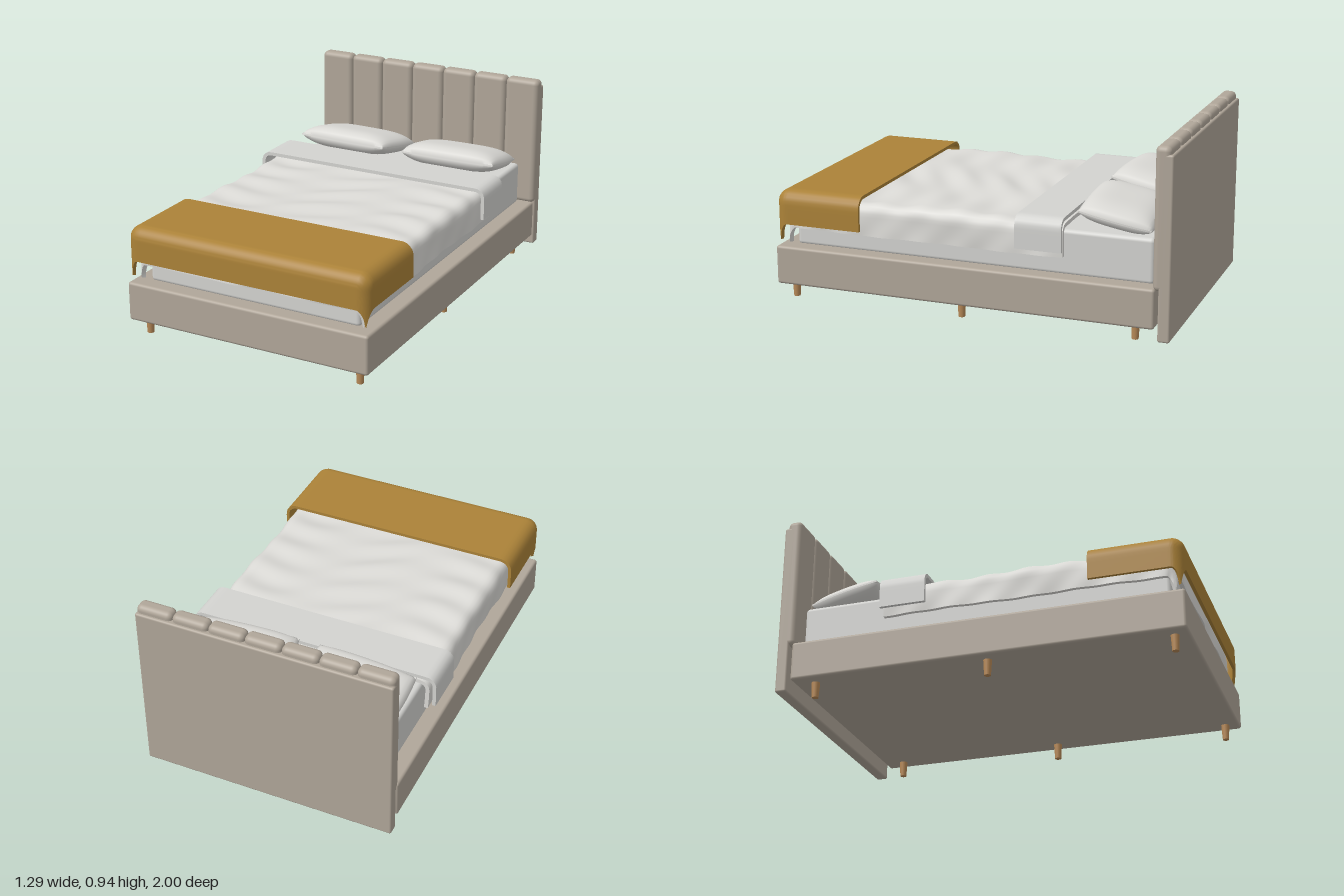
import * as THREE from 'three';
import { toCreasedNormals } from 'three/addons/utils/BufferGeometryUtils.js';
import { RoundedBoxGeometry } from 'three/addons/geometries/RoundedBoxGeometry.js';

const mat = (name, color) => {
  const m = new THREE.MeshStandardMaterial({ color });
  m.name = name;
  return m;
};

// Closed padded sheet: outer face, inner face and a rim. fn(u, v, inner) -> [x, y, z], u and v in 0..1
function paddedSheet(nu, nv, fn, crease) {
  const pos = [], index = [];
  const id = (i, j, k) => k * (nu + 1) * (nv + 1) + j * (nu + 1) + i;
  for (let k = 0; k < 2; k++)
    for (let j = 0; j <= nv; j++)
      for (let i = 0; i <= nu; i++) pos.push(...fn(i / nu, j / nv, k === 1));
  const quad = (a, b, c, d) => index.push(a, b, c, a, c, d);
  for (let j = 0; j < nv; j++)
    for (let i = 0; i < nu; i++) {
      quad(id(i, j, 0), id(i, j + 1, 0), id(i + 1, j + 1, 0), id(i + 1, j, 0));
      quad(id(i, j, 1), id(i + 1, j, 1), id(i + 1, j + 1, 1), id(i, j + 1, 1));
    }
  for (let i = 0; i < nu; i++) {
    quad(id(i, 0, 0), id(i + 1, 0, 0), id(i + 1, 0, 1), id(i, 0, 1));
    quad(id(i, nv, 0), id(i, nv, 1), id(i + 1, nv, 1), id(i + 1, nv, 0));
  }
  for (let j = 0; j < nv; j++) {
    quad(id(0, j, 0), id(0, j, 1), id(0, j + 1, 1), id(0, j + 1, 0));
    quad(id(nu, j, 0), id(nu, j + 1, 0), id(nu, j + 1, 1), id(nu, j, 1));
  }
  const g = new THREE.BufferGeometry();
  g.setAttribute('position', new THREE.Float32BufferAttribute(pos, 3));
  g.setIndex(index);
  return toCreasedNormals(g, crease);
}

// Cloth lying on the bed, bending over the sides (and the foot when overFoot) with hanging corners
function drape({ width, z0, z1, top, hem, r, thick, overFoot, wave = () => 0 }) {
  const cx = width - r, cz = overFoot ? z1 - r : z1;
  const hang = top - hem - r + r * Math.PI / 2;
  const S = cx + hang, T = overFoot ? cz + hang : z1;
  return paddedSheet(80, overFoot ? 72 : 16, (u, v, inner) => {
    const s = (2 * u - 1) * S, t = z0 + v * (T - z0);
    const ex = Math.max(Math.abs(s) - cx, 0), ez = Math.max(t - cz, 0);
    const d = Math.hypot(ex, ez), a = Math.min(d / r, Math.PI / 2);
    const dx = d ? Math.sign(s) * ex / d : 0, dz = d ? ez / d : 0;
    const out = Math.sin(a), up = Math.cos(a);
    const drop = r * (1 - up) + Math.max(d - r * Math.PI / 2, 0);
    const n = wave(s, t) - (inner ? thick : 0);
    return [
      THREE.MathUtils.clamp(s, -cx, cx) + dx * out * (r + n),
      top - drop + up * n,
      Math.min(t, cz) + dz * out * (r + n),
    ];
  }, 0.9);
}

export function createModel() {
  const bed = new THREE.Group();
  bed.name = 'bed';
  const upholstery = mat('taupe upholstery', 0xb0a699);
  const wood = mat('light wood', 0xb88a58);
  const linen = mat('white linen', 0xdbdad6);
  const sheet = mat('pale grey sheet', 0xd3d3d0);
  const ochre = mat('ochre throw', 0xab8238);

  const add = (name, geo, material, x = 0, y = 0, z = 0) => {
    const m = new THREE.Mesh(geo, material);
    m.name = name;
    m.position.set(x, y, z);
    bed.add(m);
    return m;
  };
  // Rounded box given by its lower and upper limits
  const block = (name, material, x0, x1, y0, y1, z0, z1, r) =>
    add(name, new RoundedBoxGeometry(x1 - x0, y1 - y0, z1 - z0, 4, r), material,
      (x0 + x1) / 2, (y0 + y1) / 2, (z0 + z1) / 2);

  // Frame and headboard
  block('bedBase', upholstery, -0.643, 0.643, 0.077, 0.272, -0.925, 1, 0.014);
  block('headboardPanel', upholstery, -0.643, 0.643, 0.022, 0.905, -1, -0.942, 0.01);
  const channels = 7, cw = 1.286 / channels;
  for (let i = 0; i < channels; i++) {
    const x = -0.643 + i * cw;
    block('headboardChannel', upholstery, x, x + cw, 0.262, 0.942, -0.987, -0.913, 0.026);
  }

  // Legs
  for (const x of [-0.57, 0.57])
    for (const z of [0.93, 0.045, -0.82])
      add('leg', new THREE.CylinderGeometry(0.021, 0.016, 0.085, 20), wood, x, 0.0425, z);

  // Mattress and bedding
  block('mattress', sheet, -0.562, 0.562, 0.265, 0.486, -0.9, 0.92, 0.02);
  add('duvet', drape({
    width: 0.608, z0: -0.472, z1: 0.96, top: 0.522, hem: 0.362, r: 0.05, thick: 0.02, overFoot: true,
    wave: (s, t) => 0.007 * Math.sin(31 * t + 4 * Math.sin(4 * s)) * Math.cos(7 * s)
      + 0.005 * Math.sin(13 * s + 9 * t),
  }), linen);
  add('foldedSheet', drape({
    width: 0.643, z0: -0.478, z1: -0.25, top: 0.555, hem: 0.395, r: 0.05, thick: 0.018, overFoot: false,
  }), sheet);
  add('throwBlanket', drape({
    width: 0.643, z0: 0.548, z1: 0.998, top: 0.555, hem: 0.387, r: 0.062, thick: 0.016, overFoot: true,
  }), ochre);

  // Pillows, tilted up toward the foot
  const pillowGeo = paddedSheet(32, 28, (u, v, inner) => {
    const a = 2 * u - 1, b = 2 * v - 1;
    const h = 0.004 + 0.056 * Math.pow((1 - a ** 4) * (1 - b ** 4), 0.6);
    return [0.268 * a * Math.sqrt(1 - 0.1 * b * b), inner ? -h : h, 0.186 * b * Math.sqrt(1 - 0.1 * a * a)];
  }, 1.2);
  for (const side of [-1, 1]) {
    const p = add('pillow', pillowGeo, linen, side * 0.298, 0.549, -0.69);
    p.rotation.set(-0.2, side * 0.06, 0);
  }
  return bed;
}
